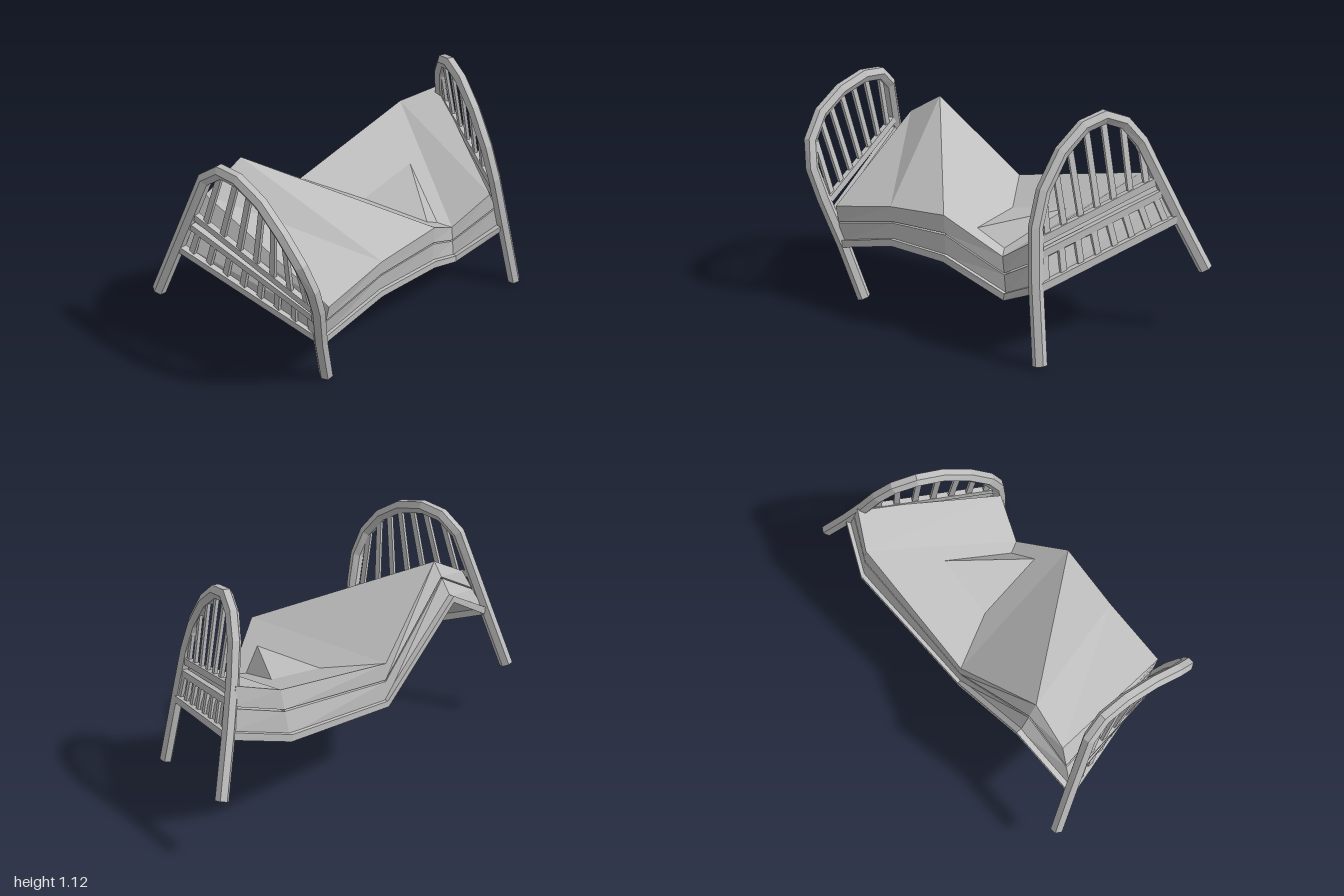
import * as THREE from 'three';

const V = (p) => new THREE.Vector3(...p);
const mix = (a, b, t) => a.map((v, i) => v + (b[i] - v) * t);

const paint = new THREE.MeshStandardMaterial({ color: 0xbebebe });
paint.name = 'plain grey';
paint.flatShading = true;

function meshFrom(name, tris) {
  const g = new THREE.BufferGeometry();
  g.setAttribute('position', new THREE.Float32BufferAttribute(tris.flat(), 3));
  g.computeVertexNormals();
  const m = new THREE.Mesh(g, paint);
  m.name = name;
  return m;
}

// Sweeps a polygon section (half sizes rs, rn) along a bent path
function sweep(name, path, sides, rs, rn, facing) {
  const pts = path.map(V);
  const rings = pts.map((p, i) => {
    const a = pts[Math.max(i - 1, 0)], b = pts[Math.min(i + 1, pts.length - 1)];
    const dirA = p.clone().sub(a).normalize(), dirB = b.clone().sub(p).normalize();
    const T = dirA.add(dirB).normalize();
    const N = V(facing).addScaledVector(T, -V(facing).dot(T)).normalize();
    const S = N.clone().cross(T);
    return Array.from({ length: sides }, (_, j) => {
      const t = ((j + 0.5) / sides) * Math.PI * 2, k = 1 / Math.cos(Math.PI / sides);
      return p.clone().addScaledVector(S, Math.cos(t) * rs * k)
        .addScaledVector(N, Math.sin(t) * rn * k).toArray();
    });
  });
  const tris = [];
  for (let j = 0; j < sides; j++) {
    const n = (j + 1) % sides;
    for (let i = 0; i + 1 < rings.length; i++) {
      const a = rings[i], b = rings[i + 1];
      tris.push(a[j], a[n], b[j], a[n], b[n], b[j]);
    }
    const first = rings[0], last = rings[rings.length - 1];
    tris.push(path[0], first[n], first[j], path[path.length - 1], last[j], last[n]);
  }
  return meshFrom(name, tris);
}

// Point on an arch at a given x
function archAt(arch, x) {
  const i = arch.findIndex((p, k) => k + 1 < arch.length && p[0] <= x && x <= arch[k + 1][0]);
  const a = arch[i], b = arch[i + 1];
  return mix(a, b, (x - a[0]) / (b[0] - a[0]));
}

// Bent-wood end board: hoop with legs, three rails, long and short slats
function endBoard(name, { arch, upper, middle, lower, tops, facing }) {
  const g = new THREE.Group();
  g.name = name;
  g.add(sweep('hoopAndLegs', arch, 6, 0.031, 0.028, facing));
  g.add(sweep('upperRail', upper, 4, 0.018, 0.014, facing));
  g.add(sweep('middleRail', middle, 4, 0.018, 0.014, facing));
  g.add(sweep('lowerRail', lower, 4, 0.019, 0.02, facing));
  tops.forEach((x, k) => {
    const f = (k + 0.9) / 7.6;
    g.add(sweep('longSlat', [mix(...upper, f), archAt(arch, x)], 4, 0.015, 0.008, facing));
  });
  for (let k = 0; k < 8; k++) {
    const f = (k + 0.75) / 8.3;
    g.add(sweep('shortSlat', [mix(...lower, f), mix(...middle, f)], 4, 0.016, 0.008, facing));
  }
  return g;
}

// Crumpled slab: rows of [left, right] points, below and above.
// rising picks which diagonal folds each quad.
function slab(name, low, high, rising) {
  const tris = [], n = low.length - 1;
  const quad = (a, b, c, d) => tris.push(a, b, c, a, c, d);
  for (let i = 0; i < n; i++) {
    const [l0, r0] = high[i], [l1, r1] = high[i + 1];
    const [bl0, br0] = low[i], [bl1, br1] = low[i + 1];
    if (rising) {
      quad(l0, l1, r1, r0);
      quad(bl0, br0, br1, bl1);
    } else {
      quad(l1, r1, r0, l0);
      quad(br0, br1, bl1, bl0);
    }
    quad(bl0, bl1, l1, l0);
    quad(br1, br0, r0, r1);
  }
  quad(low[0][1], low[0][0], high[0][0], high[0][1]);
  quad(low[n][0], low[n][1], high[n][1], high[n][0]);
  return meshFrom(name, tris);
}

export function createModel() {
  const bed = new THREE.Group();
  bed.name = 'crookedBed';

  bed.add(endBoard('frontBoard', {
    arch: [[-0.485, 0.3, 0.965], [-0.36, 0.63, 0.91], [-0.22, 1.0, 0.85], [-0.125, 1.075, 0.835],
      [0, 1.085, 0.84], [0.16, 1.04, 0.855], [0.3, 0.95, 0.87], [0.395, 0.83, 0.86],
      [0.428, 0.7, 0.825], [0.41, 0.55, 0.775], [0.35, 0.3, 0.705], [0.3, 0.015, 0.625]],
    upper: [[-0.3, 0.795, 0.88], [0.41, 0.52, 0.765]],
    middle: [[-0.32, 0.735, 0.89], [0.39, 0.455, 0.745]],
    lower: [[-0.365, 0.59, 0.915], [0.355, 0.31, 0.705]],
    tops: [-0.12, -0.01, 0.08, 0.165, 0.24, 0.31, 0.37],
    facing: [0, 0, 1],
  }));

  bed.add(endBoard('backBoard', {
    arch: [[-0.34, 0.32, -0.975], [-0.27, 0.58, -0.855], [-0.21, 0.8, -0.76], [-0.165, 0.95, -0.7],
      [-0.1, 1.05, -0.645], [-0.01, 1.09, -0.59], [0.1, 1.06, -0.545], [0.22, 0.96, -0.505],
      [0.33, 0.8, -0.48], [0.39, 0.64, -0.48], [0.43, 0.4, -0.51], [0.482, 0.015, -0.57]],
    upper: [[-0.23, 0.77, -0.775], [0.4, 0.575, -0.485]],
    middle: [[-0.24, 0.71, -0.8], [0.41, 0.51, -0.495]],
    lower: [[-0.27, 0.58, -0.855], [0.435, 0.365, -0.515]],
    tops: [-0.16, -0.09, 0, 0.09, 0.18, 0.26, 0.33],
    facing: [-0.45, 0, 0.9],
  }));

  // Side rails
  const left = [[-0.27, 0.58, -0.855], [-0.395, 0.505, -0.59], [-0.37, 0.375, 0.12],
    [-0.395, 0.785, 0.58], [-0.365, 0.59, 0.91]];
  const right = [[0.43, 0.365, -0.515], [0.32, 0.235, -0.27], [0.42, 0.4, 0.01],
    [0.39, 0.4, 0.35], [0.36, 0.31, 0.705]];
  bed.add(sweep('rightSideRail', left, 4, 0.018, 0.018, [1, 0, 0]));
  bed.add(sweep('leftSideRail', right, 4, 0.018, 0.018, [1, 0, 0]));

  // Base and mattress, layered between the rails and the top corners
  const topLeft = [[-0.25, 0.79, -0.78], [-0.35, 0.735, -0.6], [-0.365, 0.59, 0.12],
    [-0.29, 0.957, 0.57], [-0.31, 0.84, 0.78]];
  const topRight = [[0.39, 0.56, -0.45], [0.32, 0.43, -0.25], [0.43, 0.615, 0.01],
    [0.405, 0.585, 0.35], [0.405, 0.52, 0.7]];
  const layer = (t) => left.map((p, i) => [mix(p, topLeft[i], t), mix(right[i], topRight[i], t)]);
  bed.add(slab('bedBase', layer(0.04), layer(0.54), true));
  bed.add(slab('mattress', layer(0.58), layer(1), false));
  return bed;
}
